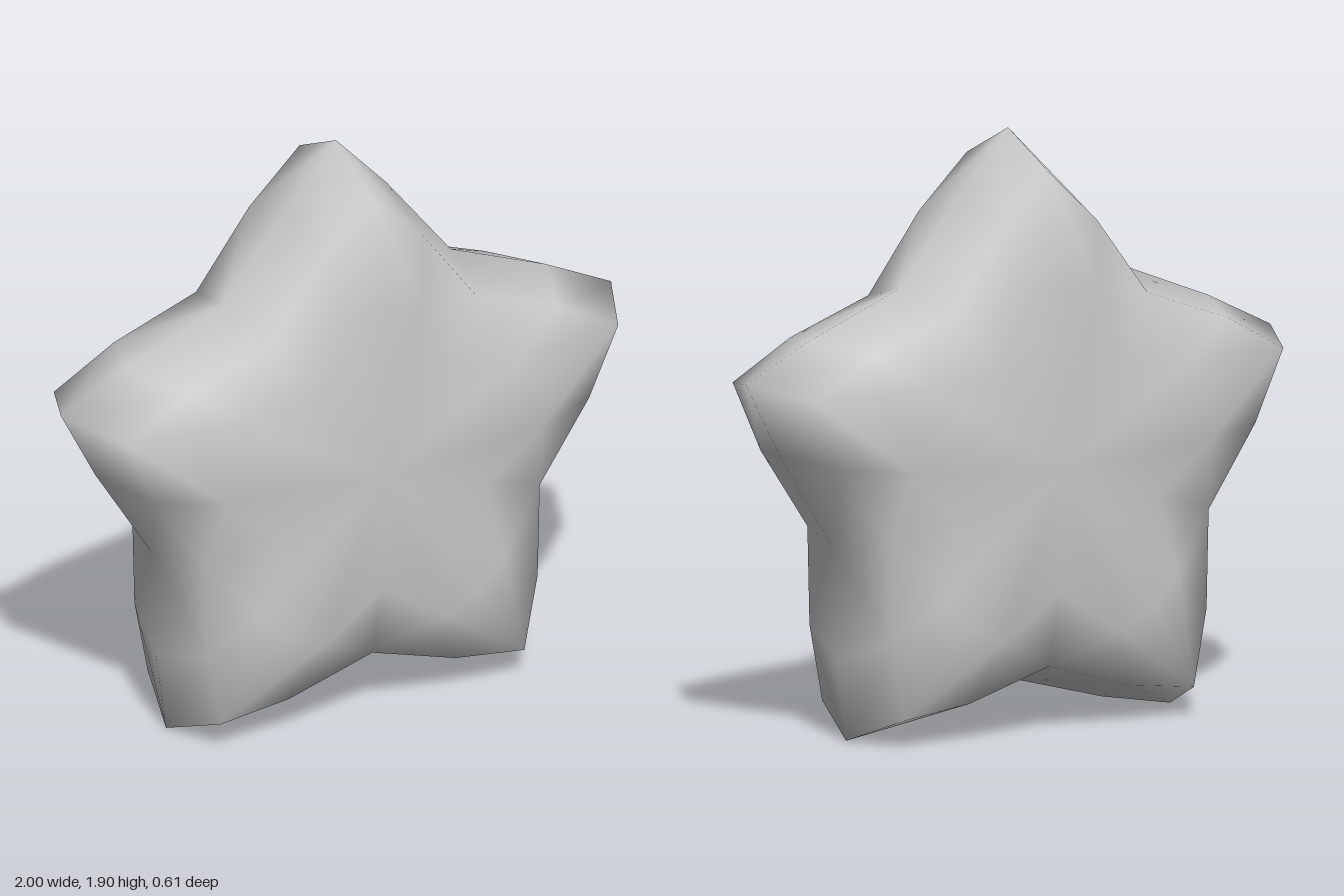
import * as THREE from 'three';

const COLUMNS = 20; // per arm: tip, flank, valley, flank
const CENTRE_Y = 0.851;

// Each ring: [radius, depth] at the tip, flank and valley, plus the flank's angle from the tip
const FACE = { tip: [0.59, 0.306], flank: [0.58, 0.306], valley: [0.4, 0.284], angle: 13.5 };
const SHOULDER = { tip: [0.94, 0.23], flank: [0.79, 0.23], valley: [0.64, 0.23], angle: 13.5 };
const RIM = { tip: [1.0515, 0], flank: [0.881, 0], valley: [0.71, 0], angle: 12 };

function ringPoints(ring, side) {
  const points = [];
  for (let k = 0; k < COLUMNS; k++) {
    const step = k % 4;
    const [radius, depth] = step === 0 ? ring.tip : step === 2 ? ring.valley : ring.flank;
    const offset = [0, ring.angle, 36, 72 - ring.angle][step];
    const a = THREE.MathUtils.degToRad(Math.floor(k / 4) * 72 + offset);
    points.push(radius * Math.sin(a), radius * Math.cos(a), depth * side);
  }
  return points;
}

function starGeometry() {
  const rings = [[FACE, 1], [SHOULDER, 1], [RIM, 1], [SHOULDER, -1], [FACE, -1]];
  const positions = rings.flatMap(([ring, side]) => ringPoints(ring, side));
  const front = rings.length * COLUMNS;
  const back = front + 1;
  positions.push(0, 0, 0.306, 0, 0, -0.306);

  const index = [];
  const last = (rings.length - 1) * COLUMNS;
  for (let k = 0; k < COLUMNS; k++) {
    const n = (k + 1) % COLUMNS;
    // puffy front and back faces
    index.push(front, n, k, back, last + k, last + n);
    // bands around the edge, with diagonals mirrored across every arm
    for (let r = 0; r < rings.length - 1; r++) {
      const a = r * COLUMNS + k, b = r * COLUMNS + n;
      const c = a + COLUMNS, d = b + COLUMNS;
      const flankFirst = k % 2 === 1;
      const frontHalf = r < 2;
      if (flankFirst === frontHalf) index.push(a, b, d, a, d, c);
      else index.push(a, b, c, b, d, c);
    }
  }

  const geometry = new THREE.BufferGeometry();
  geometry.setAttribute('position', new THREE.Float32BufferAttribute(positions, 3));
  geometry.setIndex(index);
  geometry.computeVertexNormals();
  return geometry;
}

export function createModel() {
  const group = new THREE.Group();
  group.name = 'puffyStar';
  const star = new THREE.Mesh(starGeometry(), new THREE.MeshStandardMaterial({ color: 0xcccccc }));
  star.name = 'starBody';
  star.position.y = CENTRE_Y;
  group.add(star);
  return group;
}
